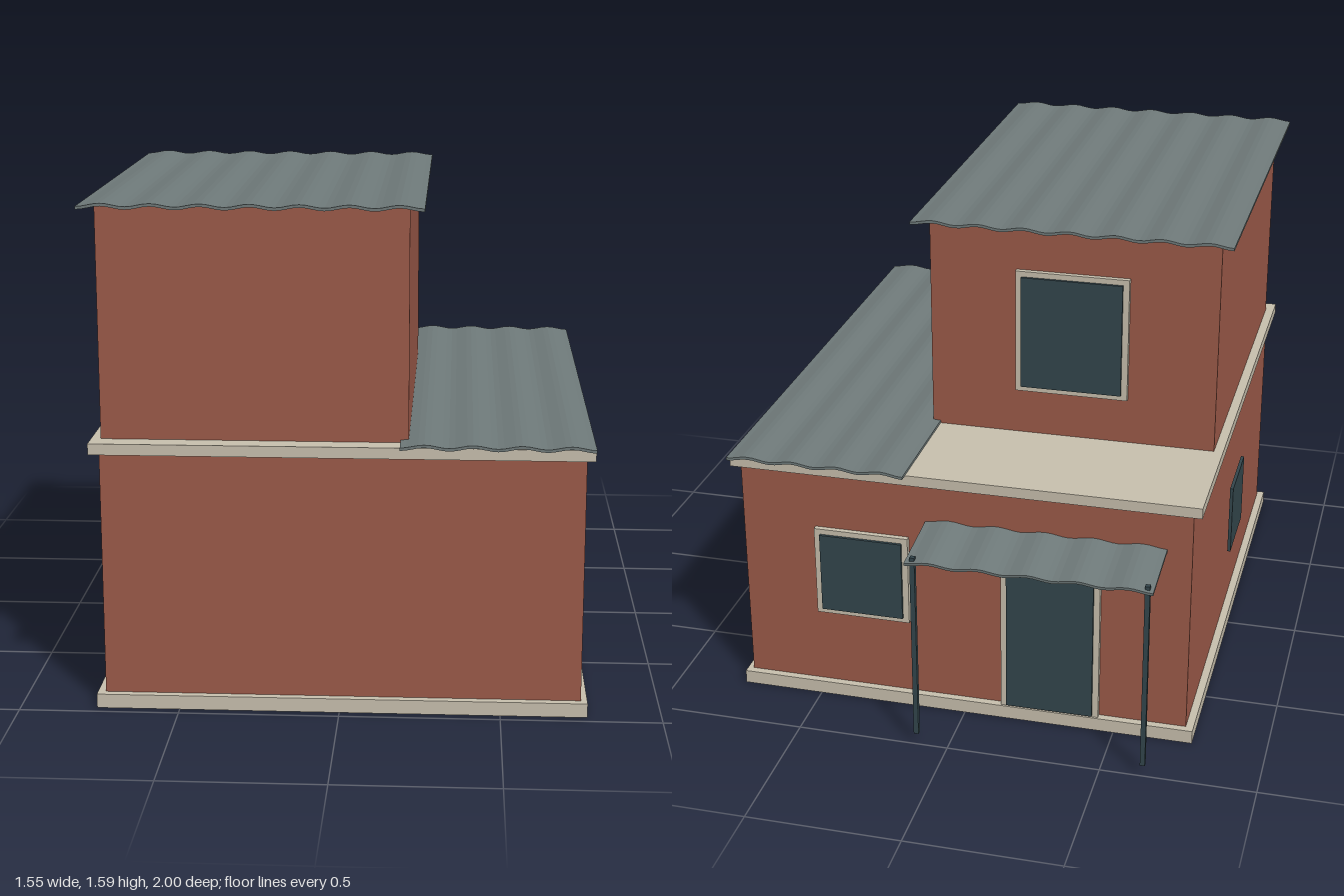
import * as THREE from 'three';

const mat = (name, color) => Object.assign(new THREE.MeshStandardMaterial({ color }), { name });

export function createModel() {
  const house = new THREE.Group();
  house.name = 'house';
  const brick = mat('brick red', 0x9c5a49);
  const cream = mat('cream concrete', 0xc8c0ae);
  const metal = mat('grey roofing', 0x6f7a7a);
  const dark = mat('dark glass and steel', 0x33464c);

  // Box given by its limits on each axis
  const box = (name, material, [x0, x1], [y0, y1], [z0, z1]) => {
    const mesh = new THREE.Mesh(new THREE.BoxGeometry(x1 - x0, y1 - y0, z1 - z0), material);
    mesh.position.set((x0 + x1) / 2, (y0 + y1) / 2, (z0 + z1) / 2);
    mesh.name = name;
    house.add(mesh);
    return mesh;
  };

  // Corrugated sheet: a wavy strip extruded along z
  const sheet = (name, [x0, x1], y, [z0, z1], waves) => {
    const w = x1 - x0, n = waves * 8, t = 0.009, amp = 0.005;
    const wave = (i) => -amp * Math.cos((i / n) * waves * Math.PI * 2);
    const pts = [];
    for (let i = 0; i <= n; i++) pts.push(new THREE.Vector2((i / n) * w, wave(i) - t / 2));
    for (let i = n; i >= 0; i--) pts.push(new THREE.Vector2((i / n) * w, wave(i) + t / 2));
    const geo = new THREE.ExtrudeGeometry(new THREE.Shape(pts), { depth: z1 - z0, bevelEnabled: false });
    const mesh = new THREE.Mesh(geo, metal);
    mesh.position.set(x0, y, z0);
    mesh.name = name;
    house.add(mesh);
    return mesh;
  };

  // Ground storey with plinth and slab
  box('plinth', cream, [-0.76, 0.77], [0, 0.045], [-0.785, 0.97]);
  box('groundFloorWalls', brick, [-0.735, 0.75], [0.045, 0.82], [-0.76, 0.945]);
  box('floorSlab', cream, [-0.765, 0.775], [0.82, 0.855], [-0.79, 0.97]);

  // Upper storey
  box('upperFloorWalls', brick, [-0.735, 0.21], [0.855, 1.573], [-0.38, 0.905]);

  // Roofs
  sheet('upperRoof', [-0.78, 0.255], 1.58, [-0.45, 0.97], 7);
  sheet('lowerRoof', [0.185, 0.775], 0.864, [-0.82, 1.0], 4);

  // Porch canopy, sloping down towards the back, on two posts
  const canopy = sheet('porchCanopy', [-0.655, 0.13], 0.661, [-1.0, -0.758], 5);
  canopy.rotation.x = -0.1;
  for (const x of [-0.635, 0.107]) {
    box('porchPost', dark, [x - 0.008, x + 0.008], [0.03, 0.675], [-0.988, -0.972]);
  }

  // Framed openings in the back walls
  const opening = (name, [x0, x1], [y0, y1], wallZ, sill = 0.018) => {
    box(name + 'Frame', cream, [x0, x1], [y0, y1], [wallZ - 0.018, wallZ]);
    box(name + 'Pane', dark, [x0 + 0.02, x1 - 0.02], [y0 + sill, y1 - 0.018], [wallZ - 0.027, wallZ - 0.018]);
  };
  opening('upperWindow', [-0.448, -0.077], [1.01, 1.425], -0.38);
  opening('backWindow', [0.187, 0.503], [0.31, 0.62], -0.76);
  opening('door', [-0.448, -0.122], [0.045, 0.62], -0.76, 0.006);

  // Side windows standing just off the walls
  box('leftWindow', dark, [0.764, 0.775], [0.31, 0.555], [-0.04, 0.225]);
  box('rightWindow', dark, [-0.762, -0.751], [0.31, 0.555], [-0.04, 0.225]);

  return house;
}
